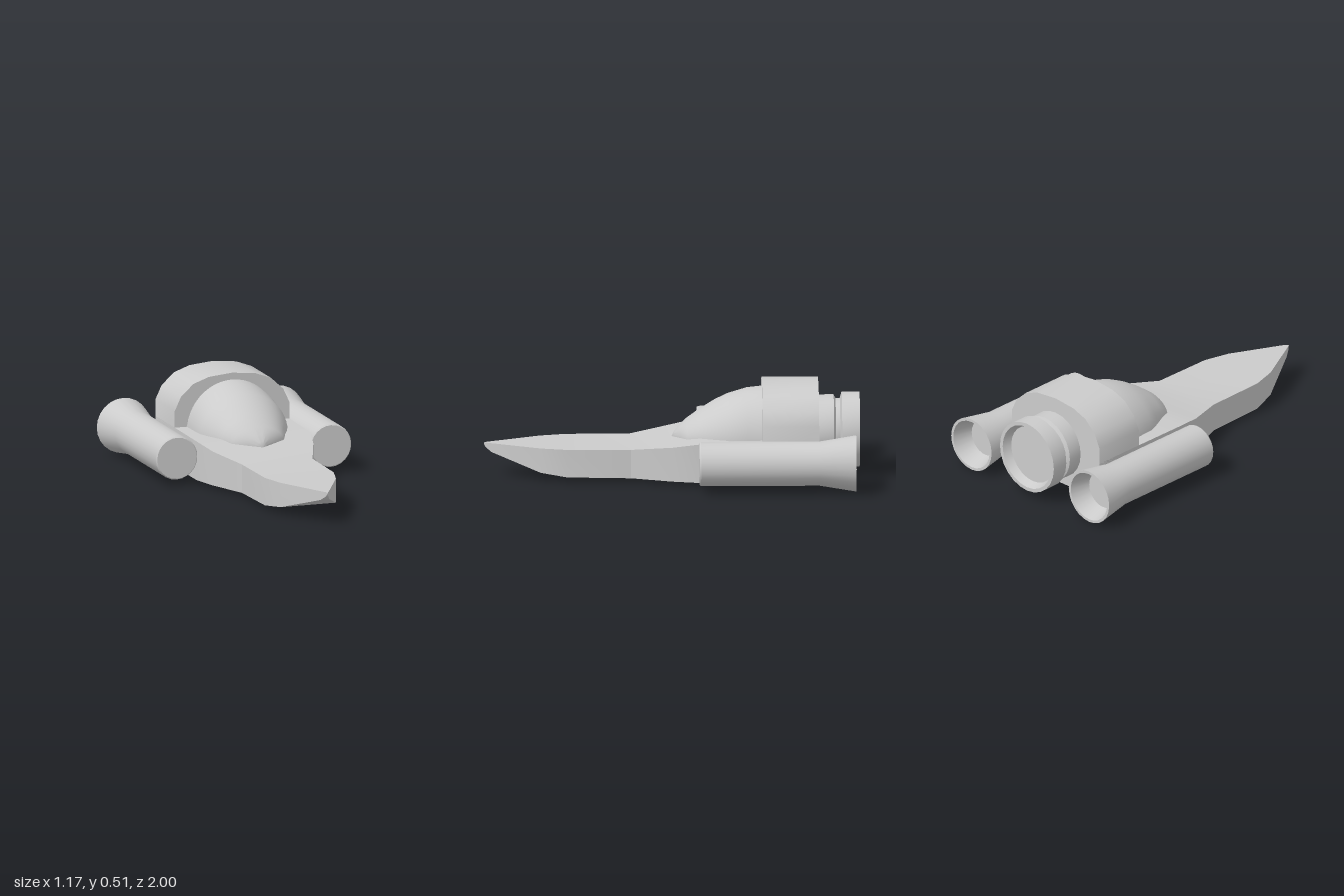
import * as THREE from 'three';
import { toCreasedNormals } from 'three/addons/utils/BufferGeometryUtils.js';

const grey = new THREE.MeshStandardMaterial({ color: 0xcccccc });

function part(name, geometry, crease = 0.6) {
  const mesh = new THREE.Mesh(toCreasedNormals(geometry, crease), grey);
  mesh.name = name;
  return mesh;
}

// Skin over rings of [x, y, z] points, anticlockwise seen from +z, ordered back to front
function loft(rings) {
  const n = rings[0].length;
  const pos = rings.flat(2);
  const index = [];
  for (let i = 0; i < rings.length - 1; i++) {
    for (let j = 0; j < n; j++) {
      const a = i * n + j, b = i * n + (j + 1) % n;
      index.push(a, b, b + n, a, b + n, a + n);
    }
  }
  // Flat caps at both ends
  const last = (rings.length - 1) * n;
  for (let j = 1; j < n - 1; j++) {
    index.push(0, j + 1, j, last, last + j, last + j + 1);
  }
  const g = new THREE.BufferGeometry();
  g.setAttribute('position', new THREE.Float32BufferAttribute(pos, 3));
  g.setIndex(index);
  return g;
}

// Turned body along z; profile of [radius, z] running from the back
function turned(profile, segments) {
  const points = profile.map(([r, z]) => new THREE.Vector2(r, z));
  return new THREE.LatheGeometry(points, segments).rotateX(Math.PI / 2);
}

export function createModel() {
  const model = new THREE.Group();
  model.name = 'spacecraft';

  // Hull: rectangular sections [z, half width, bottom, top]
  const hull = [
    [-0.78, 0.325, 0.025, 0.24], [-0.48, 0.325, 0.025, 0.24], [-0.15, 0.322, 0.025, 0.236],
    [0, 0.285, 0.025, 0.21], [0.22, 0.2, 0.025, 0.18], [0.56, 0.195, 0.03, 0.18],
    [0.7, 0.157, 0.047, 0.18], [0.96, 0.025, 0.132, 0.18], [0.99, 0.008, 0.155, 0.18],
    [1, 0.001, 0.17, 0.178],
  ].map(([z, w, lo, hi]) => [[w, lo, z], [w, hi, z], [-w, hi, z], [-w, lo, z]]);
  model.add(part('hull', loft(hull), 0.3));

  // Arched engine housing behind the canopy
  const right = [[0.325, 0.026], [0.325, 0.33], [0.29, 0.405], [0.22, 0.47], [0.132, 0.502]];
  const left = right.map(([x, y]) => [-x, y]).reverse();
  const arch = new THREE.Shape([...right, [0, 0.515], ...left].map(p => new THREE.Vector2(...p)));
  const housing = new THREE.ExtrudeGeometry(arch, { depth: 0.3, bevelEnabled: false });
  model.add(part('engineHousing', housing.translate(0, 0, -0.78)));

  // Canopy: half-ellipse sections [z, half width, height]
  const base = 0.21, steps = 24;
  const canopy = [
    [-0.5, 0.258, 0.27], [-0.4, 0.256, 0.259], [-0.3, 0.25, 0.228], [-0.23, 0.222, 0.195],
    [-0.15, 0.184, 0.146], [-0.08, 0.15, 0.095], [-0.04, 0.076, 0.06], [-0.015, 0.03, 0.03],
    [0, 0.001, 0.003],
  ].map(([z, w, h]) => {
    const ring = [];
    for (let k = 0; k <= steps; k++) {
      const t = Math.PI * k / steps;
      ring.push([w * Math.cos(t), base + h * Math.sin(t), z]);
    }
    ring.push([-w, 0.15, z], [w, 0.15, z]);
    return ring;
  });
  model.add(part('canopy', loft(canopy), 0.9));

  // Main engine nozzle with a neck groove and recessed exhaust
  const nozzle = turned([
    [0, -0.955], [0.16, -0.955], [0.18, -1], [0.2, -1], [0.2, -0.905], [0.166, -0.895],
    [0.166, -0.872], [0.185, -0.862], [0.185, -0.77], [0, -0.77],
  ], 24);
  model.add(part('mainNozzle', nozzle.translate(0, 0.245, 0)));

  // Side thrusters with flared, recessed bells
  for (const side of [-1, 1]) {
    const thruster = turned([
      [0, -0.87], [0.1, -0.87], [0.135, -0.975], [0.15, -0.975], [0.118, -0.78],
      [0.118, -0.148], [0.112, -0.14], [0, -0.14],
    ], 24);
    thruster.translate(side * 0.436, 0.155, 0);
    model.add(part(side > 0 ? 'leftThruster' : 'rightThruster', thruster));
  }

  return model;
}
